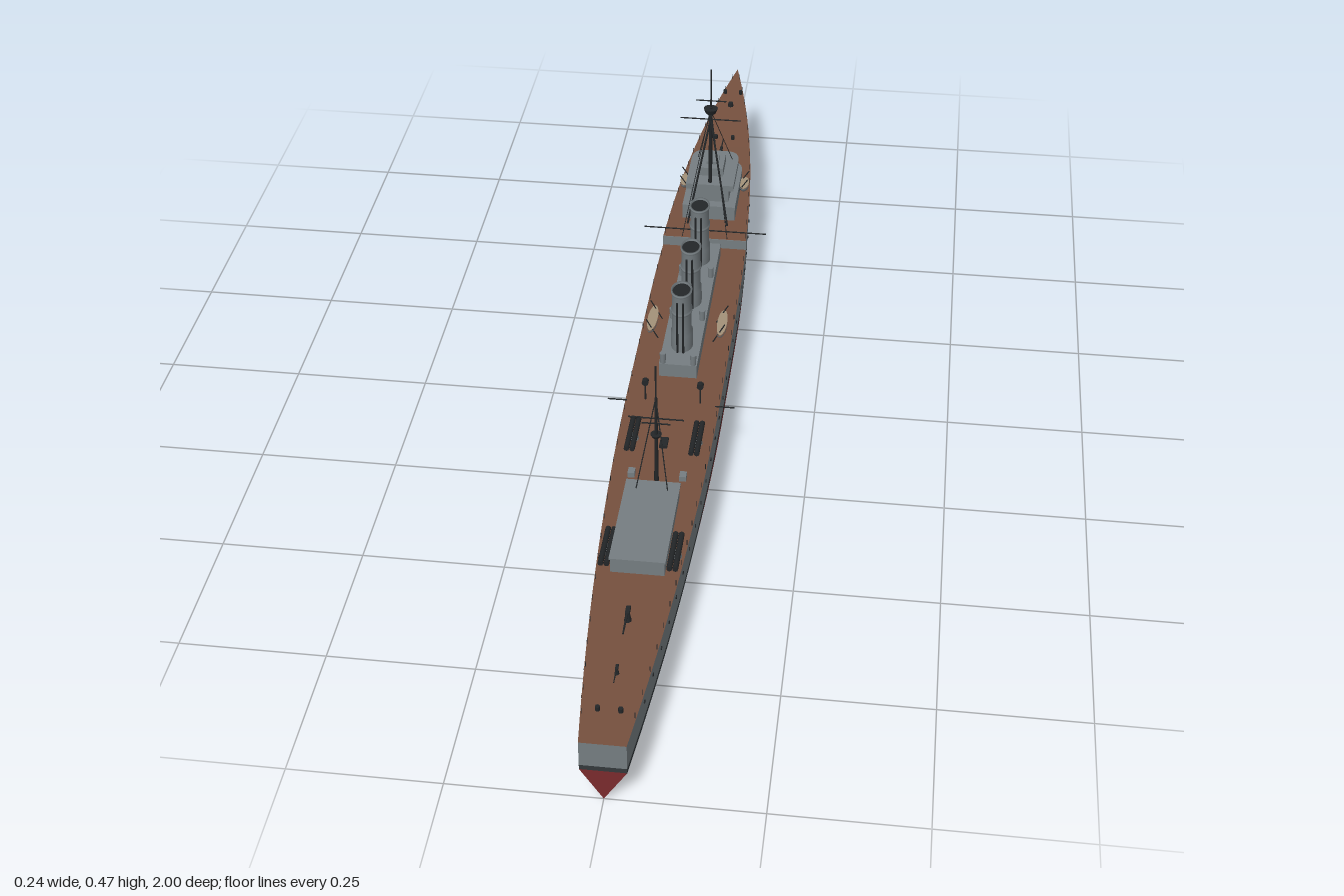
import * as THREE from 'three';

const paint = (name, color, side = THREE.FrontSide) => {
  const m = new THREE.MeshStandardMaterial({ color, side });
  m.name = name;
  return m;
};

export function createModel() {
  const ship = new THREE.Group();
  ship.name = 'warship';
  const grey = paint('hull grey', 0x757d81);
  const red = paint('bottom red', 0x7a2b2d);
  const boot = paint('boot stripe', 0x34393b);
  const wood = paint('deck wood', 0x75503e);
  const dark = paint('dark fittings', 0x232628);
  const tan = paint('boat tan', 0xa39179, THREE.DoubleSide);

  const add = (name, geo, mat, x = 0, y = 0, z = 0, parent = ship) => {
    const m = new THREE.Mesh(geo, mat);
    m.name = name;
    m.position.set(x, y, z);
    parent.add(m);
    return m;
  };
  const box = (name, mat, w, h, d, x, y, z, parent) =>
    add(name, new THREE.BoxGeometry(w, h, d), mat, x, y + h / 2, z, parent);
  // round bar between two points
  const rod = (name, a, b, r, mat = dark, r2 = r) => {
    const p = new THREE.Vector3(...a), q = new THREE.Vector3(...b), d = q.clone().sub(p);
    const m = add(name, new THREE.CylinderGeometry(r2, r, d.length(), 8), mat);
    m.position.copy(p).addScaledVector(d, 0.5);
    m.quaternion.setFromUnitVectors(new THREE.Vector3(0, 1, 0), d.normalize());
    return m;
  };
  // surface through rows of points
  const loft = (name, rows, mat) => {
    const n = rows[0].length, index = [];
    for (let i = 0; i < rows.length - 1; i++)
      for (let j = 0; j < n - 1; j++) {
        const a = i * n + j, b = a + n;
        index.push(a, b, a + 1, a + 1, b, b + 1);
      }
    const g = new THREE.BufferGeometry();
    g.setAttribute('position', new THREE.Float32BufferAttribute(rows.flat(2), 3));
    g.setIndex(index);
    g.computeVertexNormals();
    return add(name, g, mat);
  };

  // Hull lines: half breadth, deck height and fullness along the length
  const BREAK = -0.35, WL = 0.06, STRIPE = 0.069;
  const bowU = z => Math.max(0, (-0.1 - z) / 0.9);
  const sternU = z => Math.max(0, (z - 0.1) / 0.9);
  const breadth = z => 0.086 * (1 - bowU(z) ** 2.6) - 0.049 * sternU(z) ** 2;
  const deckY = z => z >= BREAK ? 0.117 + (1 - z) * 0.006
    : 0.145 + 0.027 * ((BREAK - z) / 0.65) ** 1.3;
  const waterW = z => breadth(z) * (1 - 0.2 * bowU(z) ** 2);
  const full = z => 1 - bowU(z) ** 2 - sternU(z) ** 2;
  const stations = (a, b, n) => Array.from({ length: n + 1 }, (_, i) => a + (b - a) * i / n);
  const fore = stations(-1, BREAK - 0.0005, 20), aft = stations(BREAK, 1, 28);
  const all = [...fore, ...aft];

  // Underwater body: rounded amidships, V-shaped at the ends
  const section = [[1, WL], [1, 0.05], [0.97, 0.032], [0.88, 0.018], [0.69, 0.009], [0.35, 0.004], [0, 0]];
  loft('lowerHull', all.map(z => {
    const half = section.map(([x, y]) =>
      [waterW(z) * THREE.MathUtils.lerp(y / WL, x, full(z)), y, z]);
    return [...half, ...half.slice(0, -1).reverse().map(([x, y, w]) => [-x, y, w])];
  }), red);

  for (const s of [1, -1]) {
    const strip = (name, mat, top, bottom) => loft(name, all.map(z => {
      const pair = [[s * top(z)[0], top(z)[1], z], [s * bottom(z)[0], bottom(z)[1], z]];
      return s > 0 ? pair : pair.reverse();
    }), mat);
    const line = z => [THREE.MathUtils.lerp(waterW(z), breadth(z), 0.1), STRIPE];
    strip('waterlineStripe', boot, line, z => [waterW(z), WL]);
    strip('hullSide', grey, z => [breadth(z), deckY(z)], line);
  }
  for (const [name, zs] of [['forecastleDeck', fore], ['mainDeck', aft]])
    loft(name, zs.map(z => [[-breadth(z), deckY(z), z], [breadth(z), deckY(z), z]]), wood);
  box('forecastleBulkhead', grey, 0.166, 0.02, 0.002, 0, 0.125, BREAK);

  // Flat transom
  const panel = (name, mat, pts) => add(name,
    new THREE.ShapeGeometry(new THREE.Shape(pts.map(p => new THREE.Vector2(...p)))), mat, 0, 0, 1);
  const t = breadth(1);
  panel('transomBottom', red, [[0, 0], [t, WL], [-t, WL]]);
  panel('transomStripe', boot, [[-t, WL], [t, WL], [t, STRIPE], [-t, STRIPE]]);
  panel('transom', grey, [[-t, STRIPE], [t, STRIPE], [t, 0.117], [-t, 0.117]]);

  // Portholes and rail posts on both sides
  for (const s of [1, -1]) {
    for (let z = -0.85; z < 0.95; z += 0.06) {
      const w = THREE.MathUtils.lerp(waterW(z), breadth(z), 0.7);
      const p = add('porthole', new THREE.CylinderGeometry(0.003, 0.003, 0.003, 8), dark, s * w, 0.103, z);
      p.rotation.z = Math.PI / 2;
    }
    for (let z = -0.96; z < 0.99; z += 0.05)
      box('railPost', dark, 0.001, 0.011, 0.001, s * (breadth(z) - 0.002), deckY(z), z);
  }

  // Deckhouses
  box('funnelHouse', grey, 0.07, 0.028, 0.41, 0, 0.122, -0.122);
  box('aftDeckhouse', grey, 0.09, 0.03, 0.2, 0, 0.118, 0.52);
  box('aftHouseRoof', grey, 0.094, 0.003, 0.206, 0, 0.147, 0.52);

  // Three raked oval funnels with bands and a dark mouth
  [0.018, -0.125, -0.27].forEach(z => {
    const f = new THREE.Group();
    f.name = 'funnel';
    f.position.set(0, 0.145, z);
    f.rotation.x = 0.05;
    f.scale.set(0.78, 1, 1);
    ship.add(f);
    const profile = [[0.026, 0], [0.026, 0.04], [0.023, 0.044], [0.023, 0.085], [0.0255, 0.087],
      [0.0255, 0.091], [0.023, 0.093], [0.023, 0.128], [0.025, 0.13], [0.025, 0.134], [0.021, 0.134], [0.021, 0.122]];
    add('funnelCasing', new THREE.LatheGeometry(profile.map(p => new THREE.Vector2(...p)), 24), grey, 0, 0, 0, f);
    add('funnelMouth', new THREE.CylinderGeometry(0.0212, 0.0212, 0.002, 24), dark, 0, 0.13, 0, f);
    for (const s of [1, -1])
      add('steamPipe', new THREE.CylinderGeometry(0.0025, 0.0025, 0.12, 8), dark, s * 0.007, 0.06, 0.026, f);
    for (const s of [1, -1])
      add('ventCowl', new THREE.CylinderGeometry(0.006, 0.005, 0.025, 10), grey, s * 0.028, 0.159, z + 0.06);
  });

  // Bridge: tiers with a rounded front
  const tier = (name, w, h, z0, z1, y, mat = grey) => {
    const r = w * 0.7, sh = new THREE.Shape();
    sh.moveTo(-w, -z1);
    sh.lineTo(w, -z1);
    sh.lineTo(w, -z0 - r);
    sh.quadraticCurveTo(w, -z0, w * 0.45, -z0);
    sh.lineTo(-w * 0.45, -z0);
    sh.quadraticCurveTo(-w, -z0, -w, -z0 - r);
    const g = new THREE.ExtrudeGeometry(sh, { depth: h, bevelEnabled: false, curveSegments: 6 });
    return add(name, g.rotateX(-Math.PI / 2), mat, 0, y, 0);
  };
  tier('bridgeBase', 0.053, 0.034, -0.6, -0.42, 0.143);
  tier('bridgeHouse', 0.038, 0.03, -0.56, -0.44, 0.177);
  tier('bridgeWindows', 0.0385, 0.009, -0.561, -0.46, 0.193, dark);
  tier('bridgePlatform', 0.048, 0.012, -0.57, -0.435, 0.206);
  box('wheelhouse', grey, 0.046, 0.018, 0.06, 0, 0.218, -0.5);
  box('wheelhouseRoof', grey, 0.024, 0.006, 0.03, 0, 0.236, -0.5);

  // Masts with yards, legs and stays
  rod('foremast', [0, 0.145, -0.447], [0, 0.39, -0.447], 0.0045, dark, 0.003);
  rod('foreTopmast', [0, 0.38, -0.45], [0, 0.472, -0.45], 0.0016);
  add('crowsNest', new THREE.CylinderGeometry(0.014, 0.01, 0.01, 14), dark, 0, 0.383, -0.447);
  rod('mainmast', [0, 0.12, 0.38], [0, 0.3, 0.38], 0.004, dark, 0.0025);
  rod('mainTopmast', [0, 0.29, 0.38], [0, 0.366, 0.38], 0.0015);
  add('mainmastPlatform', new THREE.CylinderGeometry(0.01, 0.007, 0.006, 12), dark, 0, 0.22, 0.38);
  [[0.363, 0.06, -0.447], [0.403, 0.03, -0.45], [0.256, 0.048, 0.38], [0.245, 0.025, 0.38]].forEach(([y, w, z]) =>
    rod('yard', [-w, y, z], [w, y, z], 0.0013));
  for (const s of [1, -1]) {
    rod('foremastLeg', [0, 0.365, -0.447], [s * 0.04, 0.146, -0.4], 0.002);
    rod('forestay', [0, 0.38, -0.45], [s * 0.035, 0.218, -0.54], 0.0007);
    rod('foreBackstay', [0, 0.39, -0.447], [s * 0.045, 0.146, -0.352], 0.0007);
    rod('mainmastStay', [0, 0.3, 0.38], [s * 0.027, 0.15, 0.44], 0.001);
  }

  // Small gun on a pedestal; angle turns the barrel about y
  const gun = (x, y, z, angle, size = 1) => {
    const g = new THREE.Group();
    g.name = 'deckGun';
    g.position.set(x, y, z);
    g.rotation.y = angle;
    g.scale.setScalar(size);
    ship.add(g);
    add('gunPedestal', new THREE.CylinderGeometry(0.004, 0.008, 0.02, 10), dark, 0, 0.01, 0, g);
    box('gunBreech', dark, 0.009, 0.009, 0.022, 0, 0.018, -0.003, g);
    const b = add('gunBarrel', new THREE.CylinderGeometry(0.0016, 0.0026, 0.06, 8), dark, 0, 0.024, 0.035, g);
    b.rotation.x = Math.PI / 2;
  };
  gun(0, deckY(0.73), 0.73, 0, 0.8);
  gun(0, deckY(0.85), 0.85, 0, 0.5);
  gun(0, deckY(-0.66), -0.66, Math.PI, 0.6);

  for (const s of [1, -1]) {
    // Broadside booms and searchlights
    rod('sideBoom', [0, 0.158, -0.36], [s * 0.122, 0.158, -0.36], 0.0013);
    rod('sideBoom', [s * 0.08, 0.136, 0.18], [s * 0.115, 0.136, 0.18], 0.0013);
    rod('searchlightPost', [s * 0.05, 0.12, 0.155], [s * 0.05, 0.157, 0.155], 0.0015);
    add('searchlight', new THREE.CylinderGeometry(0.006, 0.006, 0.01, 12), dark, s * 0.05, 0.161, 0.155).rotation.x = Math.PI / 2;

    // Torpedo tubes on deck mounts
    for (const z of [0.27, 0.57]) {
      add('tubeMount', new THREE.CylinderGeometry(0.009, 0.011, 0.008, 12), grey, s * 0.057, deckY(z) + 0.004, z);
      for (const dx of [-0.005, 0.005])
        rod('torpedoTube', [s * 0.057 + dx, deckY(z) + 0.011, z - 0.045],
          [s * 0.057 + dx, deckY(z) + 0.011, z + 0.045], 0.0048);
    }

    // Ship's boats with davits
    for (const [x, y, z, len] of [[0.066, 0.146, -0.065, 0.045], [0.061, 0.166, -0.535, 0.025]]) {
      const hull = new THREE.SphereGeometry(1, 14, 8, 0, Math.PI * 2, Math.PI / 2, Math.PI / 2);
      add('boatHull', hull, grey, s * x, y, z).scale.set(0.011, 0.014, len);
      add('boatInterior', new THREE.CylinderGeometry(1, 1, 0.001, 14), tan, s * x, y, z).scale.set(0.0095, 1, len * 0.92);
      for (const e of [-0.7, 0.7]) {
        const foot = [s * (x - 0.014), deckY(z), z + e * len];
        rod('davit', foot, [s * (x + 0.008), y + 0.018, z + e * len], 0.0012);
      }
    }

    // Capstans, bollards and hatch vents
    for (const z of [-0.9, -0.72, 0.93])
      add('bollard', new THREE.CylinderGeometry(0.004, 0.004, 0.008, 8), dark,
        s * Math.min(0.018, breadth(z) * 0.75), deckY(z) + 0.004, z);
    box('deckLocker', grey, 0.012, 0.01, 0.016, s * 0.045, deckY(0.37), 0.37);
  }
  add('capstan', new THREE.CylinderGeometry(0.005, 0.006, 0.009, 12), dark, 0, deckY(-0.85) + 0.004, -0.85);
  box('deckHatch', dark, 0.014, 0.006, 0.025, 0, deckY(0.28), 0.28);
  return ship;
}
